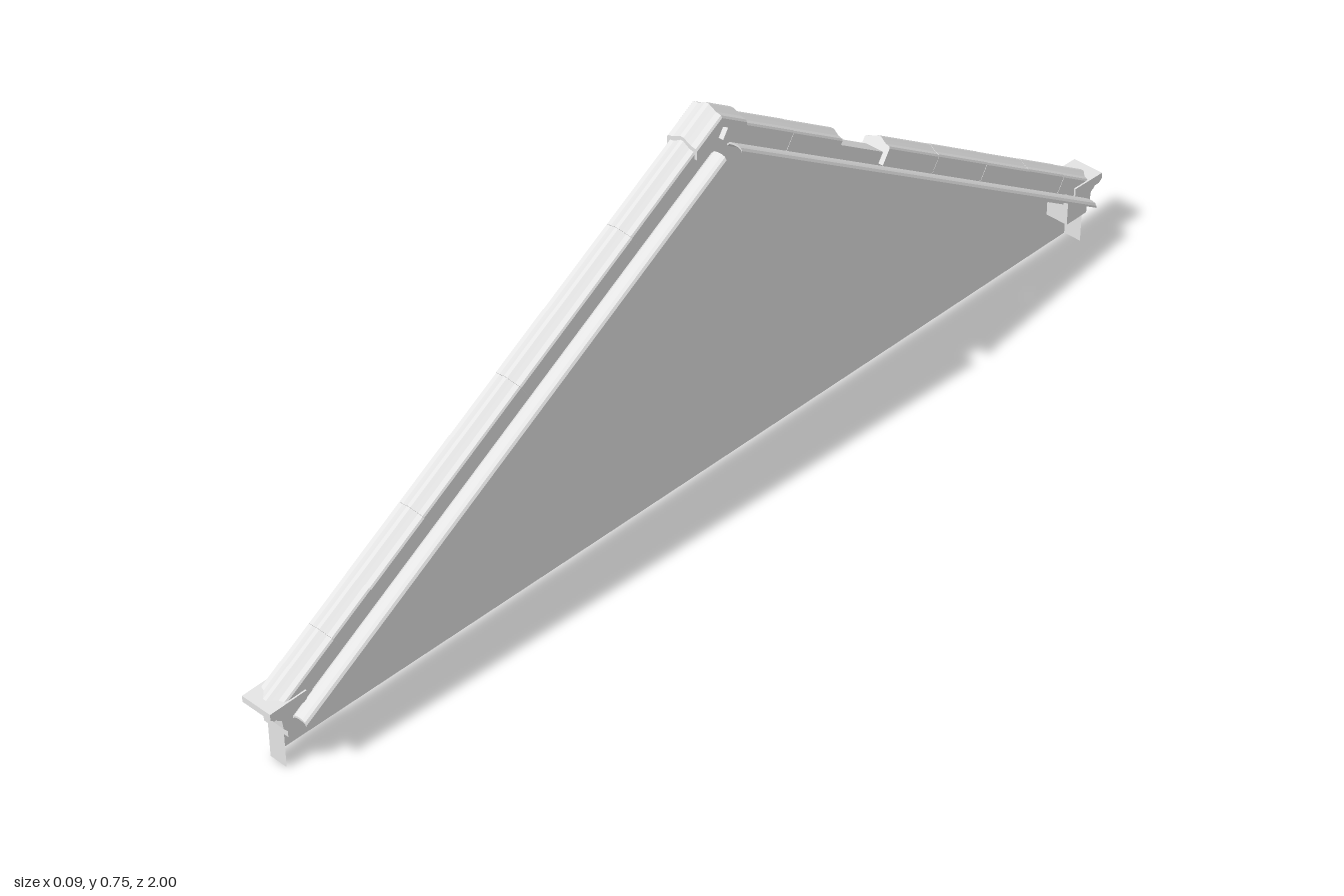
import * as THREE from 'three';

const SLOPE = 0.62;                       // fall of the gable per unit of z
const RIDGE = 0.748;                      // height of the coping line at z = 0
const SQUARE = SLOPE / (1 + SLOPE * SLOPE); // skew that cuts ends square to the slope
const MID = -0.014;                       // middle of the wall thickness
const FACE = -0.033;                      // plane of the gable sheet
const INNER = 0.004;                      // inner edge of the wall thickness

export function createModel() {
  const root = new THREE.Group();
  const stone = new THREE.MeshStandardMaterial({ color: 0xe4e4e4, side: THREE.DoubleSide });
  stone.name = 'pale stone';

  const add = (geo, name) => {
    const mesh = new THREE.Mesh(geo, stone);
    mesh.name = name;
    root.add(mesh);
    return mesh;
  };
  const toShape = (pts) => new THREE.Shape(pts.map(([x, y]) => new THREE.Vector2(x, y)));

  // Outline in (z, y), given thickness from x0 to x1
  const slab = (pts, x0, x1, name) => {
    const geo = new THREE.ExtrudeGeometry(toShape(pts), { depth: x1 - x0, bevelEnabled: false });
    geo.rotateY(-Math.PI / 2);
    geo.translate(x1, 0, 0);
    return add(geo, name);
  };

  // Section in (x, height above the slope line), run down the slope from z0 to z1
  const slopeRun = (pts, side, z0, z1, height, skew, name) => {
    const section = pts.map(([x, y]) => [x * side, y]);
    const geo = new THREE.ExtrudeGeometry(toShape(section), { depth: z1 - z0, bevelEnabled: false });
    const p = geo.attributes.position;
    for (let i = 0; i < p.count; i++) {
      const z = z0 + p.getZ(i) + skew * p.getY(i);
      p.setXYZ(i, p.getX(i), height + p.getY(i) - SLOPE * z, z);
    }
    geo.computeVertexNormals();
    if (side < 0) geo.rotateY(Math.PI);
    return add(geo, name);
  };

  // Coping section: flat shoulders sweeping up to a rounded ridge
  const copingSection = (half, base) => {
    const right = [[1, base], [1, -0.014], [0.92, -0.01], [0.6, -0.008], [0.35, -0.004], [0.12, 0]];
    return [...right, ...right.slice().reverse().map(([x, y]) => [-x, y])]
      .map(([x, y]) => [MID + x * half, y]);
  };

  // Gable wall: a single sheet, open below and on the inner side
  const top = 0.722;
  const sheet = new THREE.ShapeGeometry(toShape([
    [-0.965, 0], [0.965, 0], [0.965, top - SLOPE * 0.965],
    [0, top], [-0.965, top - SLOPE * 0.965],
  ]));
  sheet.rotateY(-Math.PI / 2);
  add(sheet, 'gableWall').position.x = FACE;

  // Coping stones, with one missing on the back slope
  const runs = [
    [1, [0.03, 0.206, 0.35, 0.456, 0.56, 0.67, 0.787, 0.868, 0.93, 0.985]],
    [-1, [0.03, 0.18, 0.3, 0.42, 0.55, 0.68, 0.8, 0.9, 0.985]],
  ];
  for (const [side, cuts] of runs) {
    for (let i = 0; i < cuts.length - 1; i++) {
      if (side < 0 && cuts[i] === 0.3) continue;
      const half = 0.0277 + (i % 3) * 0.0004;
      slopeRun(copingSection(half, -0.05), side, cuts[i], cuts[i + 1],
        RIDGE - (i % 2) * 0.0006, SQUARE, 'copingStone');
    }
  }

  for (const side of [1, -1]) {
    // Saddle stone over the apex
    slopeRun(copingSection(0.0325, -0.03), side, 0, 0.058, RIDGE + 0.007, 0, 'apexStone');

    // Wall head under the coping
    slopeRun([[FACE, -0.05], [INNER, -0.05], [INNER, 0], [FACE, 0]],
      side, 0, 0.95, top, 0, 'wallHead');

    // Thin curved flashing strip projecting beside the coping
    const curve = [[0.012, -0.008], [0.018, -0.002], [0.026, 0], [0.036, 0], [0.042, -0.002], [0.045, -0.007]];
    slopeRun([...curve, ...curve.slice().reverse().map(([x, y]) => [x, y - 0.004])],
      side, 0.018, 0.953, 0.7, 0, 'flashingStrip');

    // End return of the wall below the kneeler
    const end = add(new THREE.PlaneGeometry(INNER - FACE, 0.1), 'wallEnd');
    end.position.set((INNER + FACE) / 2, 0.05, 0.965 * side);
    if (side < 0) end.rotation.y = Math.PI;

    // Kneeler block with a moulded outer face
    const outline = [
      [0.91, 0.068], [0.965, 0.068], [0.965, 0.08], [0.973, 0.09],
      [0.975, 0.108], [0.984, 0.113], [0.985, 0.124], [0.91, 0.16],
    ];
    slab(outline.map(([z, y]) => [z * side, y]), -0.042, 0.014, 'kneelerBlock');

    // Flat kneeler cap
    const cap = [[0.925, 0.12], [0.992, 0.12], [1, 0.126], [1, 0.138], [0.925, 0.14]];
    slab(cap.map(([z, y]) => [z * side, y]), -0.0465, 0.0175, 'kneelerCap');
  }
  return root;
}
